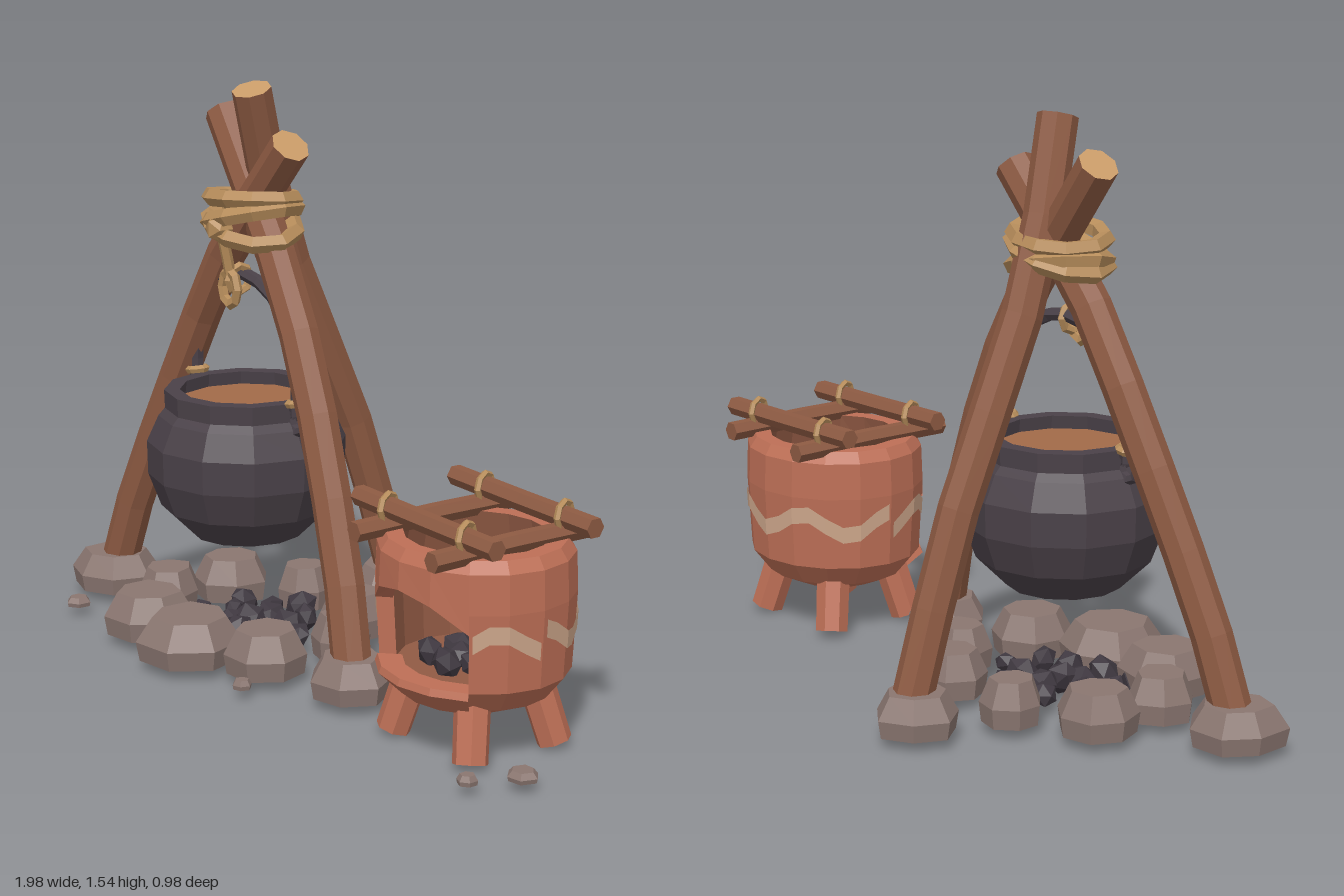
import * as THREE from 'three';

const mat = (name, color) => new THREE.MeshStandardMaterial({ name, color, side: THREE.DoubleSide });
const V = (x, y, z) => new THREE.Vector3(x, y, z);
const rad = THREE.MathUtils.degToRad;

export function createModel() {
  const root = new THREE.Group();
  root.name = 'campCookingSet';
  const bark = mat('bark', 0x8e5b43), woodEnd = mat('cutWood', 0xc99b68), rope = mat('rope', 0xb78d5b);
  const iron = mat('castIron', 0x4a4148), stew = mat('stew', 0xa26a48), stone = mat('stone', 0x8a7670);
  const coal = mat('charcoal', 0x3f3840), clay = mat('clay', 0xbd6f56), clayIn = mat('innerClay', 0x915a44);
  const paint = mat('palePaint', 0xcfa88c);

  let seed = 7;
  const rnd = () => (seed = (seed * 16807) % 2147483647) / 2147483647;

  // Faceted mesh helper
  function add(parent, name, geo, material) {
    const g = geo.index ? geo.toNonIndexed() : geo;
    g.computeVertexNormals();
    const m = new THREE.Mesh(g, material);
    m.name = name;
    parent.add(m);
    return m;
  }
  function group(name, parent = root) {
    const g = new THREE.Group();
    g.name = name;
    parent.add(g);
    return g;
  }
  const lathe = (pts, segs, start = 0, len = Math.PI * 2) =>
    new THREE.LatheGeometry(pts.map(p => new THREE.Vector2(p[0], p[1])), segs, start, len);
  function tube(parent, name, pts, r, segs, sides, material, closed = false, tension = 0.5) {
    const curve = new THREE.CatmullRomCurve3(pts, closed, 'catmullrom', tension);
    add(parent, name, new THREE.TubeGeometry(curve, segs, r, sides, closed), material);
    return curve;
  }
  // Log with flat cut ends
  function log(parent, name, pts, r, segs, sides, capMat) {
    const curve = tube(parent, name, pts, r, segs, sides, bark, false, 0.3);
    const frames = curve.computeFrenetFrames(segs, false);
    [0, 1].forEach(t => {
      const ring = [];
      const k = t * segs, c = curve.getPointAt(t);
      for (let i = 0; i < sides; i++) {
        const a = (i / sides) * Math.PI * 2;
        ring.push(c.clone().addScaledVector(frames.normals[k], -Math.cos(a) * r)
          .addScaledVector(frames.binormals[k], Math.sin(a) * r));
      }
      const tri = [];
      ring.forEach((p, i) => {
        const q = ring[(i + 1) % sides];
        tri.push(c, ...(t ? [q, p] : [p, q]));
      });
      add(parent, name + 'End', new THREE.BufferGeometry().setFromPoints(tri), capMat);
    });
  }
  // Closed rope loop, tilted
  function ropeLoop(parent, c, rx, rz, tiltX, tiltZ, r) {
    const pts = [];
    for (let i = 0; i < 10; i++) {
      const a = (i / 10) * Math.PI * 2;
      pts.push(V(c.x + rx * Math.cos(a), c.y + tiltX * Math.cos(a) + tiltZ * Math.sin(a), c.z + rz * Math.sin(a)));
    }
    tube(parent, 'ropeLoop', pts, r, 10, 5, rope, true);
  }
  function rock(parent, name, x, z, r, h, sides = 7) {
    const prof = [[0, 0], [0.93, 0], [1, 0.45], [0.7, 1], [0, 1]];
    const geo = lathe(prof, sides), p = geo.attributes.position;
    const k = Array.from({ length: sides }, () => 0.9 + rnd() * 0.2);
    for (let i = 0; i < p.count; i++) {
      const s = r * k[Math.floor(i / prof.length) % sides];
      p.setXYZ(i, p.getX(i) * s, p.getY(i) * h, p.getZ(i) * s);
    }
    const m = add(parent, name, geo, stone);
    m.position.set(x, 0.02, z);
    m.rotation.y = rnd() * 6;
  }
  function lump(parent, x, y, z, r) {
    const m = add(parent, 'coal', new THREE.IcosahedronGeometry(r, 0), coal);
    m.position.set(x, y, z);
    m.rotation.set(rnd() * 6, rnd() * 6, rnd() * 6);
    m.scale.y = 0.75;
  }

  // Tripod
  const tripod = group('tripod');
  log(tripod, 'rightLeg', [V(-0.87, 0.08, 0.17), V(-0.78, 0.34, 0.15), V(-0.57, 0.8, 0.1), V(-0.4, 1.08, 0.09), V(-0.13, 1.385, 0.08)], 0.053, 7, 8, woodEnd);
  log(tripod, 'leftLeg', [V(0.26, 0.08, 0.17), V(0.17, 0.36, 0.14), V(-0.02, 0.79, 0.1), V(-0.19, 1.07, 0.08), V(-0.48, 1.43, 0.05)], 0.053, 7, 8, woodEnd);
  log(tripod, 'backLeg', [V(-0.295, 0.08, -0.395), V(-0.305, 0.54, -0.26), V(-0.305, 1.12, -0.01), V(-0.255, 1.52, 0.115)], 0.053, 6, 8, woodEnd);
  [[-0.875, 0.175, 0.122], [0.25, 0.165, 0.11], [-0.305, -0.385, 0.11]].forEach(([x, z, r]) => rock(tripod, 'footStone', x, z, r, 0.105));

  // Rope lashing, knot and hanging loop
  const lashing = group('lashing');
  ropeLoop(lashing, V(-0.3, 1.225, 0.085), 0.13, 0.105, 0.012, 0.01, 0.024);
  ropeLoop(lashing, V(-0.3, 1.18, 0.085), 0.135, 0.11, 0.035, 0.0, 0.024);
  ropeLoop(lashing, V(-0.3, 1.155, 0.085), 0.135, 0.105, -0.03, -0.015, 0.024);
  const knot = add(lashing, 'knot', new THREE.IcosahedronGeometry(0.04, 0), rope);
  knot.position.set(-0.3, 1.155, 0.19);
  tube(lashing, 'hangingRope', [V(-0.305, 1.14, 0.18), V(-0.305, 1.08, 0.165), V(-0.305, 1.03, 0.155)], 0.016, 3, 5, rope);
  const loop = add(lashing, 'hangingLoop', new THREE.TorusGeometry(0.036, 0.013, 5, 8), rope);
  loop.position.set(-0.305, 0.99, 0.155);
  loop.scale.y = 1.25;
  const hook = add(lashing, 'bailLoop', new THREE.TorusGeometry(0.035, 0.012, 5, 8), rope);
  hook.position.set(-0.305, 1.01, 0.125);
  hook.rotation.y = Math.PI / 2;

  // Cauldron
  const pot = group('cauldron');
  pot.position.set(-0.307, 0, 0.105);
  add(pot, 'cauldronBody', lathe([[0, 0.31], [0.15, 0.31], [0.232, 0.39], [0.266, 0.48], [0.268, 0.57], [0.236, 0.64],
    [0.218, 0.66], [0.22, 0.71], [0.178, 0.71], [0.188, 0.63]], 12), iron);
  const soup = add(pot, 'stewSurface', new THREE.CircleGeometry(0.19, 12), stew);
  soup.rotation.x = -Math.PI / 2;
  soup.position.y = 0.675;
  tube(pot, 'bail', [[-0.235, 0.68], [-0.232, 0.8], [-0.195, 0.9], [-0.12, 0.985], [0, 1.02], [0.12, 0.985], [0.195, 0.9], [0.232, 0.8], [0.235, 0.68]]
    .map(([x, y]) => V(x, y, 0)), 0.018, 14, 6, iron);
  [-1, 1].forEach(s => {
    const ear = add(pot, 'ear', new THREE.TorusGeometry(0.033, 0.014, 5, 8), iron);
    ear.position.set(s * 0.238, 0.67, 0);
    ropeLoop(pot, V(s * 0.236, 0.715, 0), 0.024, 0.024, 0.004, 0, 0.011);
  });

  // Fire ring
  const fire = group('fireRing');
  [[-0.6, -0.04, 0.1], [-0.41, -0.155, 0.08], [-0.14, -0.135, 0.095], [0, 0.01, 0.08], [-0.025, 0.24, 0.115],
    [-0.235, 0.34, 0.14], [-0.475, 0.32, 0.122], [-0.62, 0.16, 0.092]].forEach(([x, z, r]) => rock(fire, 'ringStone', x, z, r, 0.118));
  for (let i = 0; i < 16; i++) {
    const a = i * 2.4, d = 0.05 * Math.sqrt(i);
    lump(fire, -0.31 + d * Math.cos(a), 0.05, 0.1 + d * Math.sin(a), 0.035 + rnd() * 0.018);
  }
  [[-0.78, 0.36, 0.034], [0.05, 0.37, 0.026], [0.955, 0.18, 0.04], [0.9, 0.305, 0.026]].forEach(([x, z, r]) => rock(root, 'pebble', x, z, r, 0.025, 6));

  // Clay stove: base, wall with an arched mouth at the front, inner wall
  const stove = group('clayStove');
  stove.position.set(0.63, 0, 0.067);
  stove.scale.z = 0.92;
  const q = Math.PI / 4;
  const outer = [[0.25, 0.2], [0.262, 0.4], [0.258, 0.5], [0.237, 0.53], [0.19, 0.53]];
  const inner = [[0.19, 0.53], [0.215, 0.4], [0.205, 0.2]];
  add(stove, 'stoveBase', lathe([[0, 0.11], [0.13, 0.11], [0.2, 0.14], [0.25, 0.2]], 16), clay);
  add(stove, 'stoveWall', lathe(outer, 12, q, 6 * q), clay);
  add(stove, 'innerWall', lathe(inner, 12, q, 6 * q), clayIn);
  const arch = geo => {
    const p = geo.attributes.position;
    for (let i = 0; i < p.count; i++) {
      if (Math.abs(p.getY(i) - 0.4) < 0.001) p.setY(i, 0.43 - 0.08 * (Math.atan2(p.getX(i), p.getZ(i)) / q) ** 2);
    }
    return geo;
  };
  add(stove, 'archWall', arch(lathe([[0.215, 0.4], ...outer.slice(1)], 4, -q, 2 * q)), clay);
  add(stove, 'archInside', arch(lathe(inner.slice(0, 2), 4, -q, 2 * q)), clayIn);
  const jamb = new THREE.Shape([...outer, ...inner.slice(1)].map(p => new THREE.Vector2(p[0], p[1])));
  [-q, q].forEach(a => { add(stove, 'jamb', new THREE.ShapeGeometry(jamb), clay).rotation.y = a - Math.PI / 2; });
  add(stove, 'mouthLip', lathe([[0.2, 0.13], [0.262, 0.185], [0.255, 0.203], [0.19, 0.203]], 4, -q, 2 * q), clay);
  const floor = add(stove, 'stoveFloor', new THREE.CircleGeometry(0.22, 16), clayIn);
  floor.rotation.x = -Math.PI / 2;
  floor.position.y = 0.2;

  // Painted wave lying on the wall facets
  const wall = (deg, y) => {
    const k = Math.floor(deg / 22.5), f = deg / 22.5 - k, r = 0.255 + (y - 0.2) * 0.06;
    const at = i => V(r * Math.sin(rad(i * 22.5)), y, r * Math.cos(rad(i * 22.5)));
    return at(k).lerp(at(k + 1), f);
  };
  [[45, 90, 62], [90, 270, 90], [270, 315, 298]].forEach(([a, b, peak]) => {
    const tri = [];
    const pair = d => {
      d = Math.min(b - 2, Math.max(a + 2, d));
      const y = 0.325 + 0.03 * Math.cos(rad((d - peak) * 6));
      return [wall(d, y - 0.023), wall(d, y + 0.023)];
    };
    for (let d = a; d < b; d += 11.25) {
      const [l0, h0] = pair(d), [l1, h1] = pair(d + 11.25);
      tri.push(l0, l1, h1, l0, h1, h0);
    }
    add(stove, 'paintedWave', new THREE.BufferGeometry().setFromPoints(tri), paint);
  });

  // Splayed stove feet
  [-1, 1].forEach(sx => [-1, 1].forEach(sz => {
    const foot = add(root, 'stoveFoot', new THREE.CylinderGeometry(0.047, 0.045, 0.17, 7), clay);
    foot.position.set(0.63 + sx * 0.135, 0.088, 0.07 + sz * 0.115);
    foot.rotation.set(-sz * 0.22, 0, sx * 0.22);
  }));

  // Stove coals
  [[0.58, 0.08], [0.66, 0.05], [0.7, 0.03], [0.63, 0.12], [0.71, 0.13], [0.57, 0.16], [0.66, 0.18]].forEach(([x, z]) => lump(root, x, 0.225, z, 0.045));

  // Log grate with lashings
  const grate = group('logGrate');
  [-0.085, 0.22].forEach(z => log(grate, 'crossLog', [V(0.355, 0.588, z), V(0.63, 0.582, z), V(0.895, 0.578, z)], 0.027, 2, 6, bark));
  [0.475, 0.78].forEach(x => {
    log(grate, 'sideLog', [V(x, 0.54, -0.18), V(x, 0.543, 0.07), V(x, 0.54, 0.325)], 0.027, 2, 6, bark);
    [-0.085, 0.22].forEach(z => {
      const tie = add(grate, 'tie', new THREE.TorusGeometry(0.036, 0.009, 5, 8), rope);
      tie.position.set(x, 0.583, z);
      tie.rotation.y = Math.PI / 2 + 0.35;
    });
  });
  return root;
}
